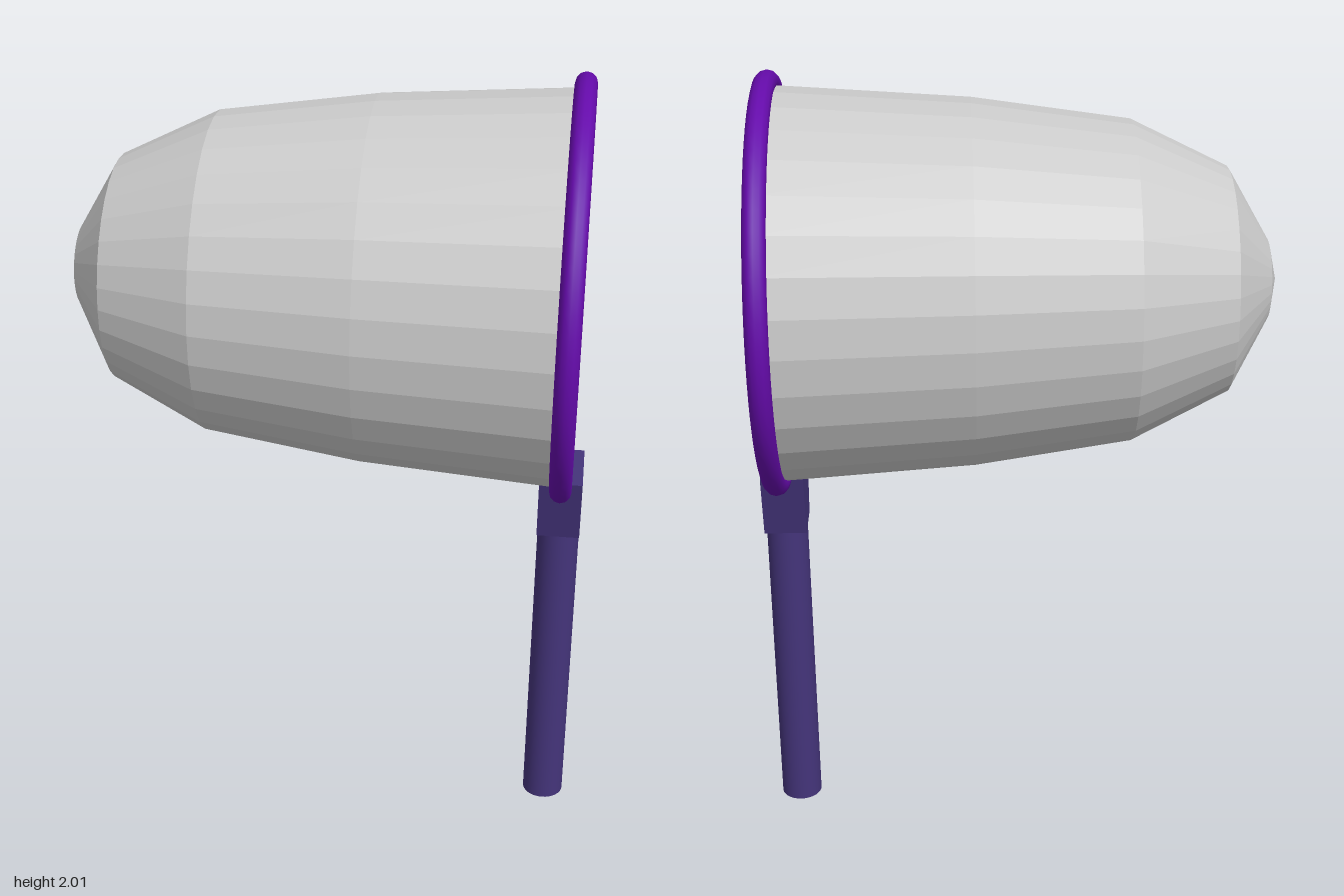
import * as THREE from 'three';

const RIM_X = 0.587; // plane of the hoop and handle
const AXIS_Y = 1.488; // height of the hoop centre

export function createModel() {
  const group = new THREE.Group();
  const add = (name, geometry, material, x, y) => {
    const mesh = new THREE.Mesh(geometry, material);
    mesh.name = name;
    mesh.position.set(x, y, 0);
    group.add(mesh);
  };

  const netMaterial = new THREE.MeshStandardMaterial({
    color: 0xcccccc, flatShading: true, side: THREE.DoubleSide,
  });
  const hoopMaterial = new THREE.MeshStandardMaterial({ color: 0x650bab });
  const handleMaterial = new THREE.MeshStandardMaterial({ color: 0x44347a });
  const socketMaterial = new THREE.MeshStandardMaterial({ color: 0x44347a, flatShading: true });

  // Net bag: faceted thimble lying along x, open at the hoop
  const profile = [
    [0, -0.645], [0.1, -0.622], [0.278, -0.52], [0.394, -0.283], [0.449, 0.1], [0.482, RIM_X],
  ].map(([r, x]) => new THREE.Vector2(r, x));
  const net = new THREE.LatheGeometry(profile, 32);
  net.rotateZ(-Math.PI / 2);
  add('net', net, netMaterial, 0, AXIS_Y);

  // Hoop around the mouth of the net
  const hoop = new THREE.TorusGeometry(0.49, 0.027, 12, 64);
  hoop.rotateY(Math.PI / 2);
  add('hoop', hoop, hoopMaterial, RIM_X, AXIS_Y);

  // Socket: a block that narrows towards the handle
  const socket = new THREE.BoxGeometry(0.108, 0.17, 0.19);
  const p = socket.attributes.position;
  for (let i = 0; i < p.count; i++) {
    if (p.getY(i) < 0) p.setZ(i, p.getZ(i) * 0.64);
  }
  socket.computeVertexNormals();
  add('socket', socket, socketMaterial, RIM_X, 0.917);

  // Handle
  add('handle', new THREE.CylinderGeometry(0.053, 0.053, 0.84, 32), handleMaterial, RIM_X, 0.42);

  return group;
}
